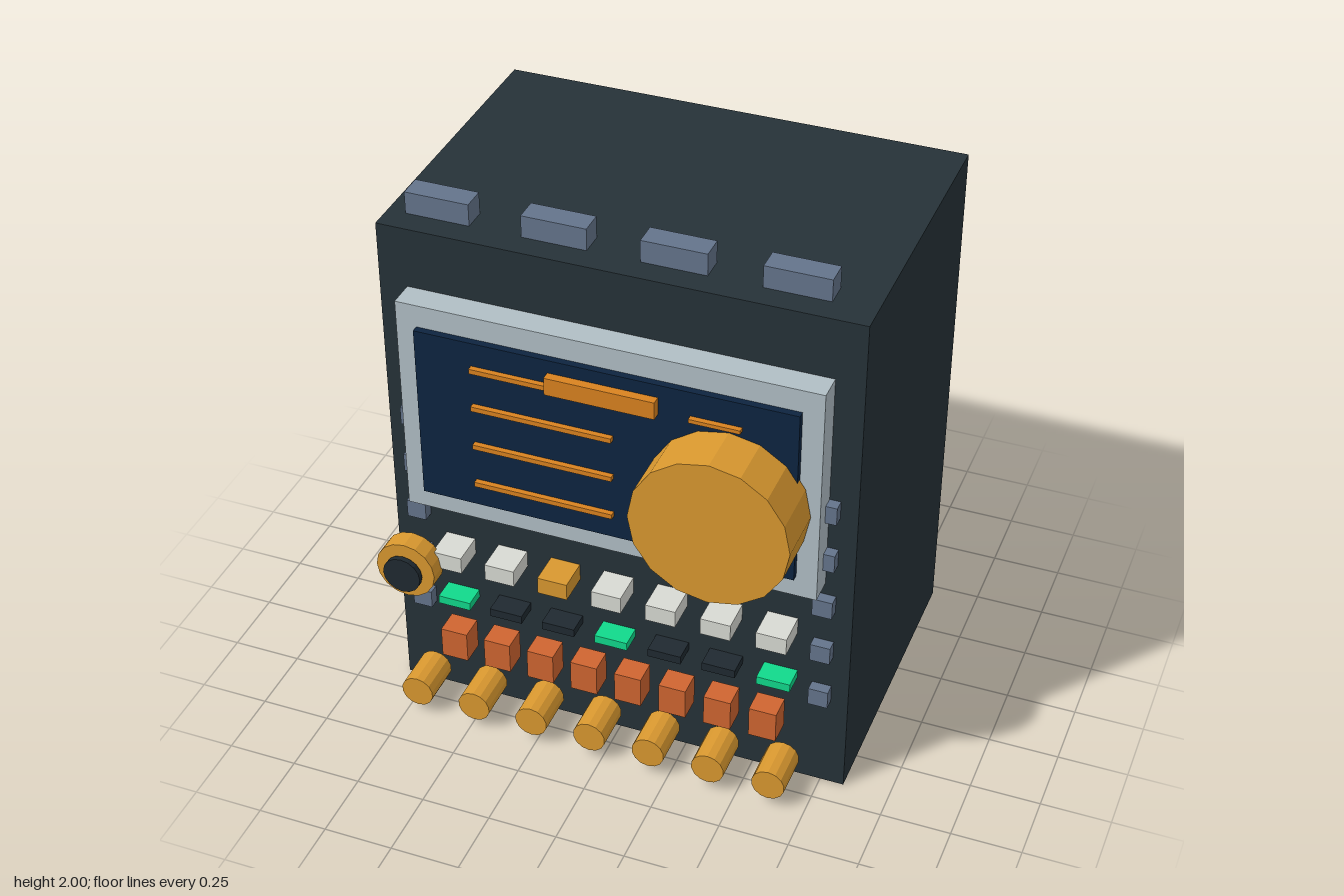
import * as THREE from 'three';

const paint = (name, color) => {
  const m = new THREE.MeshStandardMaterial({ color });
  m.name = name;
  return m;
};

export function createModel() {
  const model = new THREE.Group();
  model.name = 'controlConsole';

  const charcoal = paint('charcoal', 0x263238);
  const silver = paint('silver', 0xb0bec5);
  const slate = paint('slate', 0x64748b);
  const navy = paint('navy', 0x0d2440);
  const gold = paint('gold', 0xd9982f);
  const amber = paint('amber', 0xd9821f);
  const rust = paint('rust', 0xcf6530);
  const ivory = paint('ivory', 0xd8dad3);
  const green = paint('green', 0x10d98b);
  const dark = paint('dark', 0x1f2930);

  const add = (name, geometry, material, x, y, z) => {
    const mesh = new THREE.Mesh(geometry, material);
    mesh.name = name;
    mesh.position.set(x, y, z);
    model.add(mesh);
  };
  // Box centred on x, y and spanning z0 to z1
  const box = (name, mat, x, y, w, h, z0, z1) =>
    add(name, new THREE.BoxGeometry(w, h, z1 - z0), mat, x, y, (z0 + z1) / 2);
  // Faceted disc facing the front, spanning z0 to z1
  const disc = (name, mat, x, y, r, z0, z1, sides) => {
    const g = new THREE.CylinderGeometry(r, r, z1 - z0, sides).rotateX(Math.PI / 2).toNonIndexed();
    g.computeVertexNormals();
    add(name, g, mat, x, y, (z0 + z1) / 2);
  };

  // Cabinet and top tabs
  box('cabinet', charcoal, 0, 0.96, 1.67, 1.92, -0.71, 0.405);
  for (let i = 0; i < 4; i++) box('topTab', slate, -0.657 + i * 0.41, 1.96, 0.227, 0.08, 0.23, 0.315);

  // Screen with its frame and display bars
  box('screenFrame', silver, 0, 1.29, 1.47, 0.82, 0.405, 0.5);
  box('screen', navy, 0, 1.29, 1.325, 0.655, 0.5, 0.525);
  for (const y of [1.52, 1.37, 1.215, 1.06]) box('displayLine', amber, -0.213, y, 0.495, 0.018, 0.525, 0.545);
  box('displayShortLine', amber, 0.387, 1.52, 0.175, 0.014, 0.525, 0.545);
  box('displayHeader', amber, 0, 1.537, 0.38, 0.065, 0.525, 0.557);

  // Large dial
  disc('mainDial', gold, 0.43, 1.22, 0.275, 0.505, 0.71, 16);

  // Small side tabs on the front panel
  for (const side of [-1, 1])
    for (const y of [1.195, 0.998, 0.8, 0.602, 0.405])
      box('sideTab', slate, side * 0.739, y, 0.07, 0.068, 0.405, 0.445);

  // Side knob with dark cap
  disc('sideKnob', gold, -0.727, 0.637, 0.11, 0.505, 0.58, 16);
  disc('sideKnobCap', dark, -0.727, 0.637, 0.07, 0.592, 0.612, 16);

  // Rows of push buttons, indicator lamps and round knobs
  for (let i = 0; i < 7; i++) {
    const x = -0.593 + i * 0.1975;
    box('pushButton', i === 2 ? gold : ivory, x, 0.668, 0.108, 0.065, 0.405, 0.525);
    box('indicatorLamp', i % 3 === 0 ? green : dark, x, 0.456, 0.12, 0.032, 0.405, 0.487);
    disc('roundKnob', gold, -0.708 + i * 0.2213, 0.093, 0.06, 0.435, 0.595, 14);
  }

  // Square switches
  for (let i = 0; i < 8; i++) box('squareSwitch', rust, -0.578 + i * 0.1645, 0.306, 0.098, 0.118, 0.445, 0.535);

  return model;
}
